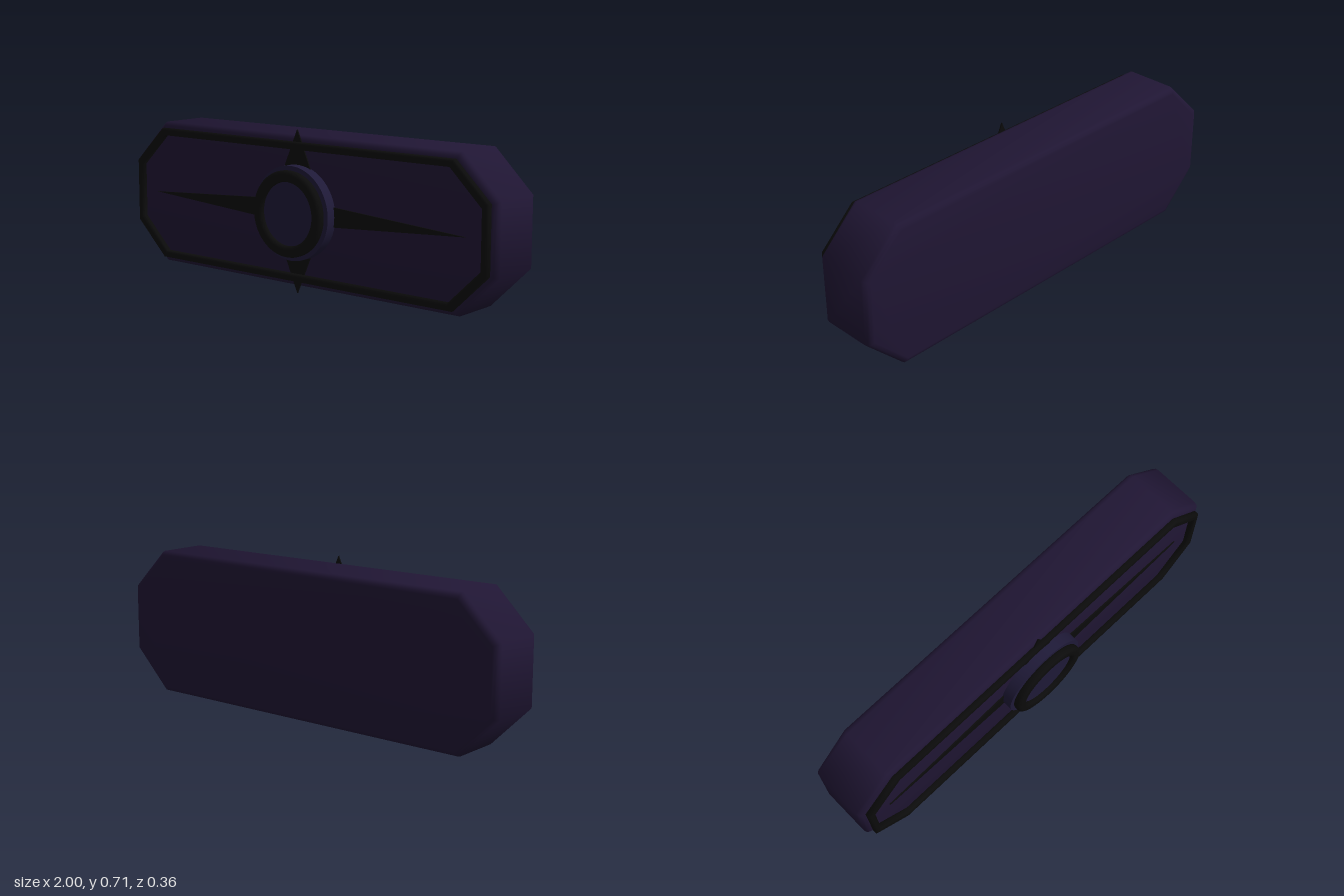
import * as THREE from 'three';
import { toCreasedNormals } from 'three/addons/utils/BufferGeometryUtils.js';

const MID_Y = 0.357;

// Octagonal outline: half width, half height, and the size of the cut corners
function octagon(w, h, cx, cy, Type = THREE.Shape) {
  const corner = [[w, h - cy], [w - cx, h]];
  const pts = [];
  for (const [sx, sy] of [[1, 1], [-1, 1], [-1, -1], [1, -1]]) {
    const pair = corner.map(([x, y]) => new THREE.Vector2(x * sx, y * sy));
    pts.push(...(sx * sy > 0 ? pair : pair.reverse()));
  }
  return new Type(pts);
}

function circle(r, Type = THREE.Shape) {
  const c = new Type();
  c.absarc(0, 0, r, 0, Math.PI * 2, false);
  return c;
}

// Extrude a shape from z0 to z1 with its bevel kept inside the outline
function slab(name, shape, z0, z1, bevel, material, crease = 0.9) {
  const geo = new THREE.ExtrudeGeometry(shape, {
    depth: z1 - z0 - 2 * bevel,
    bevelEnabled: bevel > 0,
    bevelSize: bevel,
    bevelThickness: bevel,
    bevelOffset: -bevel,
    bevelSegments: 3,
    curveSegments: 32,
  });
  geo.translate(0, 0, z0 + bevel);
  const mesh = new THREE.Mesh(toCreasedNormals(geo, crease), material);
  mesh.name = name;
  mesh.position.y = MID_Y;
  return mesh;
}

export function createModel() {
  const group = new THREE.Group();
  group.name = 'buckle';
  const purple = new THREE.MeshStandardMaterial({ color: 0x201634 });
  const navy = new THREE.MeshStandardMaterial({ color: 0x1f1a38 });
  const black = new THREE.MeshStandardMaterial({ color: 0x0b0b0b });

  // Main block
  group.add(slab('body', octagon(1, 0.328, 0.18, 0.178), -0.18, 0.095, 0.027, purple));

  // Raised border around the front face
  const border = octagon(0.973, 0.303, 0.165, 0.16);
  border.holes.push(octagon(0.94, 0.27, 0.152, 0.147, THREE.Path));
  group.add(slab('border', border, 0.09, 0.121, 0.01, black));

  // Four thin spikes: tip distance, inner distance, inner half width
  const spikes = [[0.86, 0.1, 0.049], [0.356, 0.1, 0.112]];
  for (let i = 0; i < 4; i++) {
    const [tip, base, half] = spikes[i % 2];
    const shape = new THREE.Shape([
      new THREE.Vector2(base, -half),
      new THREE.Vector2(tip, 0),
      new THREE.Vector2(base, half),
    ]);
    const spike = slab('spike', shape, 0.096, 0.102, 0, black, 0.5);
    spike.rotation.z = i * Math.PI / 2;
    group.add(spike);
  }

  // Round centre: base plate, ring and inset
  group.add(slab('centrePlate', circle(0.205), 0.09, 0.145, 0, navy, 0.5));
  const ring = circle(0.187);
  ring.holes.push(circle(0.138, THREE.Path));
  group.add(slab('centreRing', ring, 0.14, 0.18, 0.014, black));
  group.add(slab('centreInset', circle(0.145), 0.14, 0.16, 0, navy, 0.5));

  return group;
}
